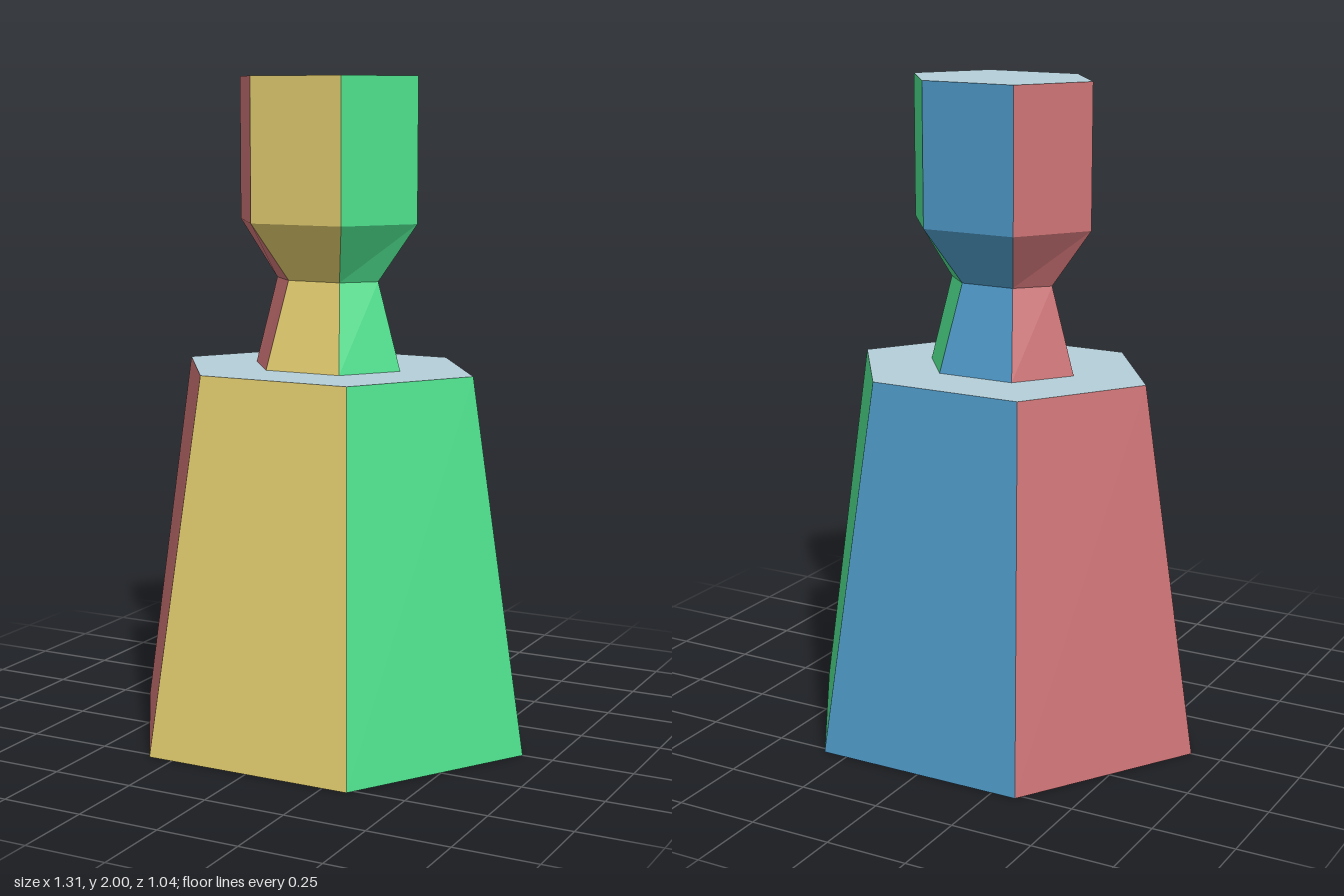
import * as THREE from 'three';

const mat = (name, color) => Object.assign(new THREE.MeshStandardMaterial({ color }), { name });

// Hexagonal cross-section with points on +x / -x and flat sides at front and back
const ring = (y, rx, rz) => [
  [rx, 0], [rx / 2, rz], [-rx / 2, rz], [-rx, 0], [-rx / 2, -rz], [rx / 2, -rz],
].map(([x, z]) => new THREE.Vector3(x, y, z));

function facets(triangles) {
  const g = new THREE.BufferGeometry().setFromPoints(triangles);
  g.computeVertexNormals();
  return g;
}

// Six flat sides between two rings, one material group per side
function band(name, lower, upper, materials) {
  const pts = [];
  for (let i = 0; i < 6; i++) {
    const j = (i + 1) % 6;
    pts.push(lower[j], lower[i], upper[i], lower[j], upper[i], upper[j]);
  }
  const g = facets(pts);
  for (let i = 0; i < 6; i++) g.addGroup(i * 6, 6, i);
  const mesh = new THREE.Mesh(g, materials);
  mesh.name = name;
  return mesh;
}

// Flat hexagonal lid facing up or down
function cap(name, r, up, material) {
  const c = new THREE.Vector3(0, r[0].y, 0);
  const pts = [];
  for (let i = 0; i < 6; i++) {
    const j = (i + 1) % 6;
    pts.push(c, r[up ? j : i], r[up ? i : j]);
  }
  const mesh = new THREE.Mesh(facets(pts), material);
  mesh.name = name;
  return mesh;
}

export function createModel() {
  const green = mat('green', 0x4edf8c);
  const yellow = mat('yellow', 0xdfca6d);
  const red = mat('red', 0xcc7375);
  const blue = mat('blue', 0x4e98c6);
  const pale = mat('pale grey blue', 0xb3ced9);
  const slate = mat('slate', 0x7a8194);
  const sides = [green, yellow, red, red, blue, green];

  const foot = ring(0, 0.655, 0.52);
  const shoulder = ring(1.13, 0.481, 0.348);
  const neckBase = ring(1.13, 0.245, 0.162);
  const neckTop = ring(1.395, 0.171, 0.087);
  const headBase = ring(1.57, 0.298, 0.203);
  const headTop = ring(2, 0.298, 0.203);

  const model = new THREE.Group();
  model.name = 'hexagonalPiece';
  model.add(
    cap('underside', foot, false, slate),
    band('body', foot, shoulder, sides),
    band('shoulderLedge', shoulder, neckBase, Array(6).fill(pale)),
    band('neck', neckBase, neckTop, sides),
    band('headFlare', neckTop, headBase, sides),
    band('head', headBase, headTop, sides),
    cap('headTop', headTop, true, pale),
  );
  return model;
}
